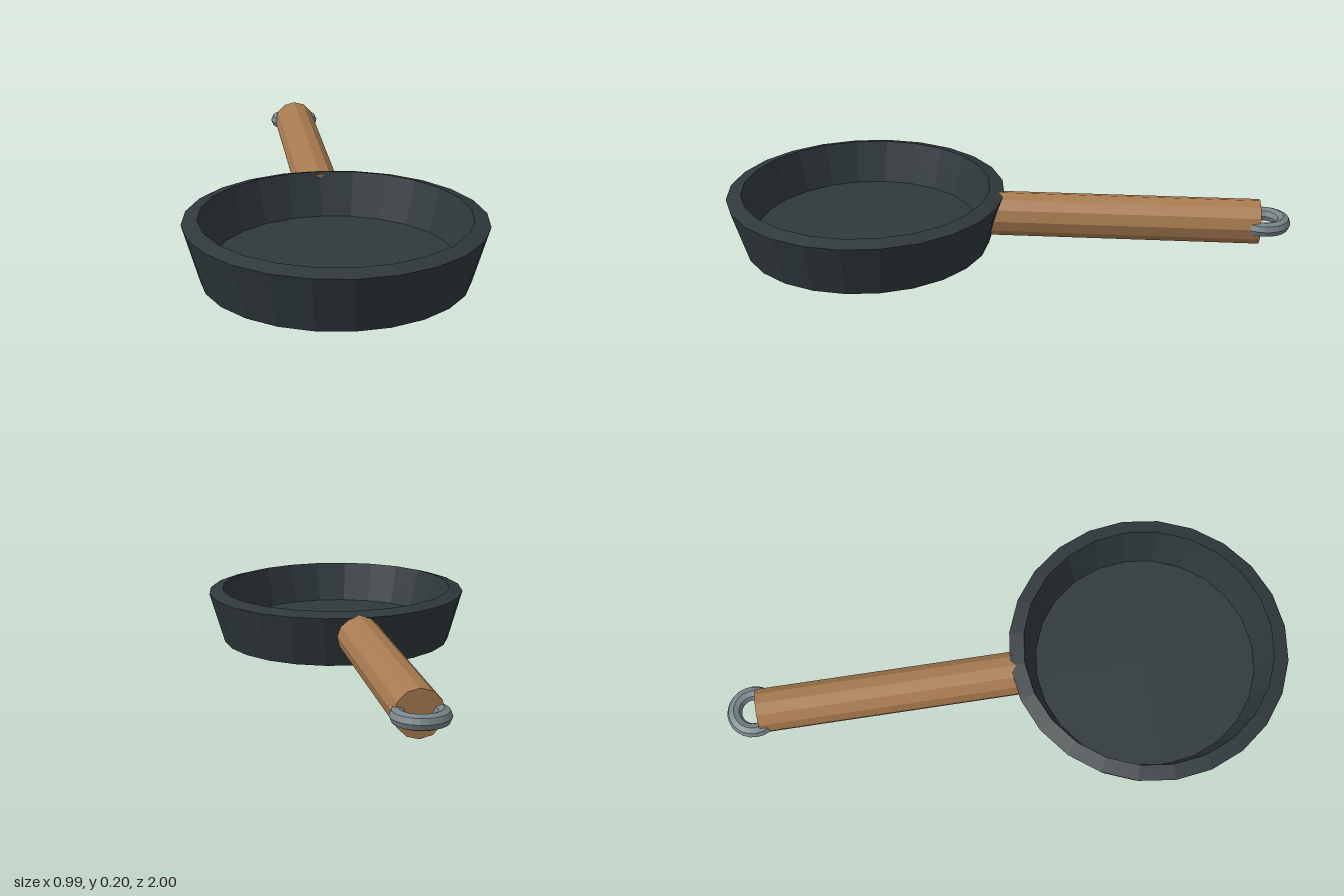
import * as THREE from 'three';

const paint = (color) => new THREE.MeshStandardMaterial({ color, flatShading: true });

function addPart(group, name, geometry, material, x, y, z) {
  const mesh = new THREE.Mesh(geometry, material);
  mesh.name = name;
  mesh.position.set(x, y, z);
  group.add(mesh);
  return mesh;
}

export function createModel() {
  const group = new THREE.Group();
  group.name = 'fryingPan';

  // Pan body: base, flared wall, sloping rim, inner wall and floor
  const profile = [
    [0, 0], [0.44, 0], [0.495, 0.19], [0.443, 0.205], [0.397, 0.055], [0, 0.055],
  ].map(([r, y]) => new THREE.Vector2(r, y));
  addPart(group, 'pan', new THREE.LatheGeometry(profile, 24), paint(0x2f383b), 0, 0, 0.505);

  // Twelve-sided wooden handle, its tip just breaking through the inner wall
  const back = -0.89, front = 0.068, axisY = 0.117;
  const handle = new THREE.CylinderGeometry(0.079, 0.079, front - back, 12).rotateX(Math.PI / 2);
  addPart(group, 'handle', handle, paint(0xa87b50), 0, axisY, (front + back) / 2);

  // Hanging ring lying flat, half sunk into the handle end
  const ring = new THREE.TorusGeometry(0.069, 0.026, 8, 24).rotateX(Math.PI / 2);
  addPart(group, 'hangingRing', ring, paint(0x78858a), 0, axisY, -0.905);

  return group;
}
